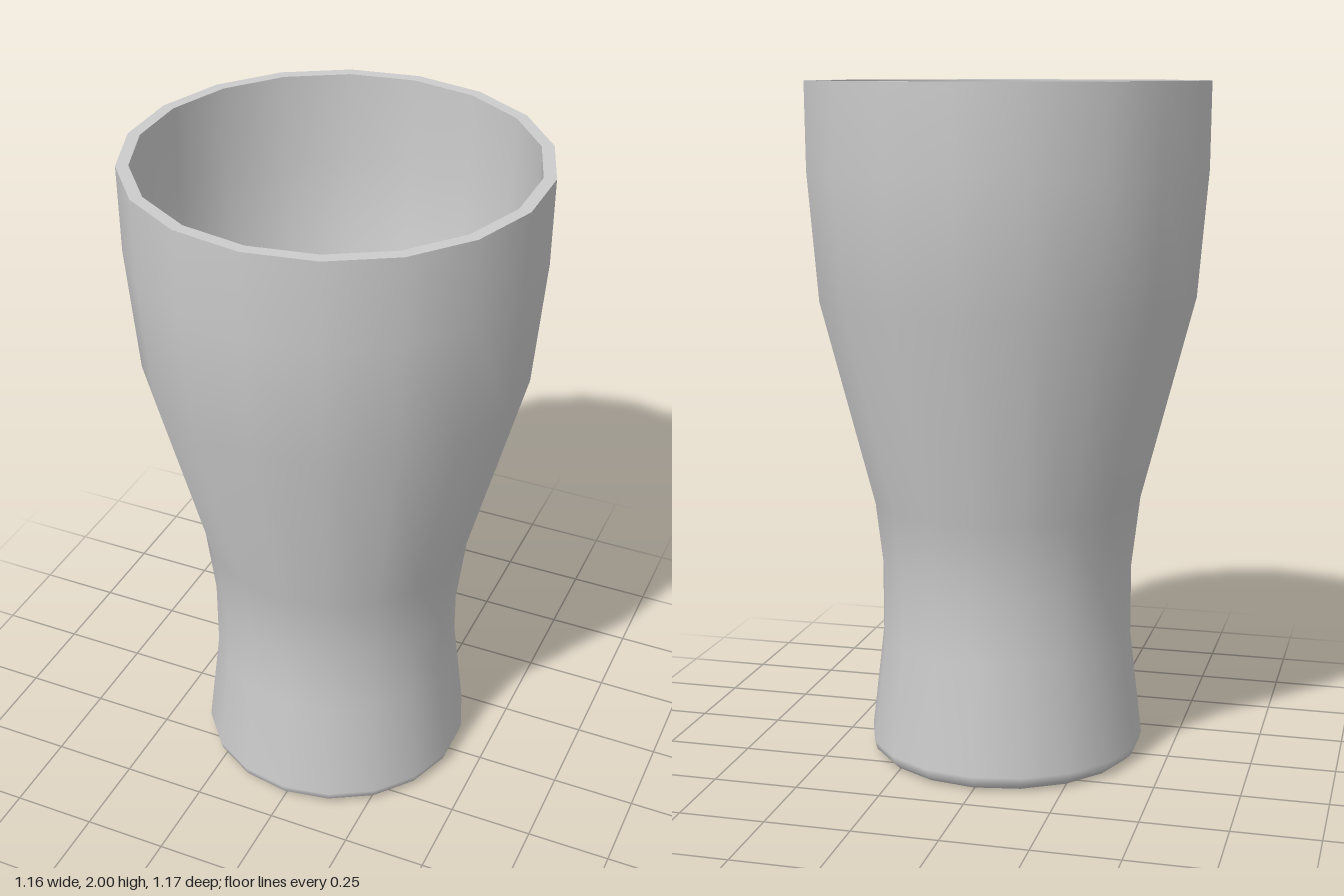
import * as THREE from 'three';

const SIDES = 18;

export function createModel() {
  const glass = new THREE.Group();
  glass.name = 'pintGlass';
  const material = new THREE.MeshStandardMaterial({ color: 0xcccccc });

  // Each strip is lathed on its own, so edges between strips stay sharp.
  // Profiles run outward and up the outside, then inward and down the inside.
  const addLathe = (name, profile) => {
    const points = profile.map(([r, y]) => new THREE.Vector2(r, y));
    const mesh = new THREE.Mesh(new THREE.LatheGeometry(points, SIDES), material);
    mesh.name = name;
    glass.add(mesh);
  };

  // Underside and curved outer wall, blended around the rounded foot
  addLathe('outerWall', [
    [0, 0], [0.37, 0], [0.39, 0.006], [0.405, 0.02], [0.412, 0.045],
    [0.375, 0.36], [0.375, 0.57], [0.4, 0.78],
    [0.555, 1.38], [0.585, 1.75], [0.587, 2],
  ]);

  // Flat lip
  addLathe('rim', [[0.587, 2], [0.552, 2]]);

  // Inner wall follows the outer wall at constant thickness
  addLathe('innerWall', [
    [0.552, 2], [0.55, 1.75], [0.521, 1.39], [0.366, 0.79],
    [0.341, 0.57], [0.341, 0.36], [0.368, 0.06],
  ]);

  // Inside bottom
  addLathe('floor', [[0.368, 0.06], [0, 0.06]]);

  return glass;
}
